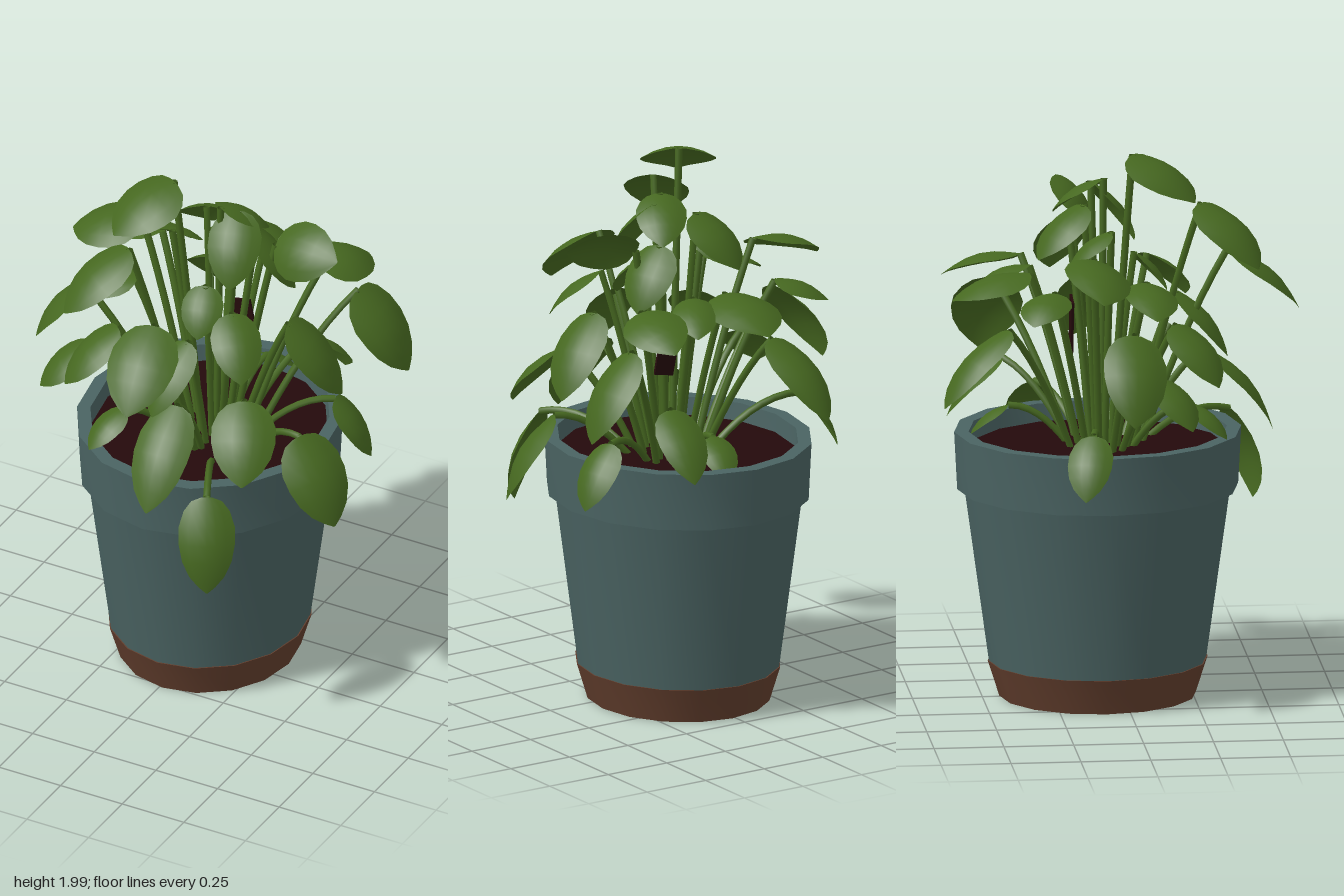
import * as THREE from 'three';
import { toCreasedNormals } from 'three/addons/utils/BufferGeometryUtils.js';

const V = (x, y, z) => new THREE.Vector3(x, y, z);
const CENTRE = V(0.012, 0, -0.086); // pot axis

// Rows of [t along the leaf, half-width fraction]
const OUTLINE = [[0, 0.2], [0.04, 0.55], [0.14, 0.82], [0.3, 1], [0.48, 1], [0.66, 0.88], [0.82, 0.62], [0.93, 0.3], [1, 0.03]];

// Arched, cupped leaf blade from its stem joint to its tip
function leafGeometry(base, tip, width, roll) {
  const dir = tip.clone().sub(base);
  const length = dir.length();
  dir.normalize();
  const side = dir.clone().cross(V(0, 1, 0)).normalize().applyAxisAngle(dir, roll);
  const normal = side.clone().cross(dir);
  const cols = 6, pos = [], index = [];
  OUTLINE.forEach(([t, w], i) => {
    for (let j = 0; j <= cols; j++) {
      const u = (j / cols) * 2 - 1;
      const lift = 0.13 * length * Math.sin(Math.PI * t) - 0.16 * width * u * u * w * w;
      const p = base.clone()
        .addScaledVector(dir, length * t)
        .addScaledVector(side, u * w * width / 2)
        .addScaledVector(normal, lift);
      pos.push(p.x, p.y, p.z);
      if (i && j) {
        const d = i * (cols + 1) + j, c = d - 1, b = d - cols - 1, a = b - 1;
        index.push(a, b, c, b, d, c);
      }
    }
  });
  const g = new THREE.BufferGeometry();
  g.setAttribute('position', new THREE.Float32BufferAttribute(pos, 3));
  g.setIndex(index);
  g.computeVertexNormals();
  return g;
}

// Stem rising steeply from the soil, then leaning out to the leaf
function stemGeometry(base) {
  const root = V(0.04 + (base.x - 0.04) * 0.3, 0.88, -0.07 + (base.z + 0.07) * 0.3);
  const mid = root.clone().lerp(base, 0.5);
  mid.y += 0.06 + 0.12 * Math.hypot(base.x - root.x, base.z - root.z);
  const curve = new THREE.QuadraticBezierCurve3(root, mid, base);
  return new THREE.TubeGeometry(curve, 8, 0.013, 6, false);
}

// Leaves: [base, tip, width, roll]
const OUTER_LEFT = [
  [[-0.28, 1.66, -0.13], [-0.56, 1.56, -0.12], 0.24, -0.25],
  [[-0.2, 1.55, 0.07], [-0.45, 1.47, 0.08], 0.19, -0.15],
  [[-0.45, 1.42, 0.0], [-0.65, 1.13, -0.02], 0.23, -0.25],
  [[-0.38, 1.24, 0.1], [-0.52, 1.08, 0.2], 0.18, -0.1],
  [[-0.47, 1.06, -0.15], [-0.6, 0.85, -0.19], 0.16],
  [[-0.22, 1.4, 0.17], [-0.36, 1.2, 0.31], 0.2],
  [[-0.17, 1.1, 0.22], [-0.24, 0.98, 0.35], 0.13],
];
const OUTER_FRONT = [
  [[-0.07, 1.99, 0.03], [-0.2, 1.84, 0.24], 0.27],
  [[-0.12, 1.82, 0.27], [-0.28, 1.61, 0.46], 0.23],
  [[0.04, 1.61, 0.38], [0.07, 1.38, 0.64], 0.25],
  [[0.09, 1.24, 0.3], [0.1, 0.93, 0.55], 0.21],
  [[0.27, 0.97, 0.41], [0.32, 0.63, 0.5], 0.2],
  [[0.31, 1.27, 0.2], [0.4, 1.04, 0.39], 0.23],
];
const OUTER_RIGHT = [
  [[0.24, 1.71, -0.16], [0.51, 1.74, -0.12], 0.22, 0.85],
  [[0.43, 1.43, -0.42], [0.62, 1.13, -0.45], 0.25, 0.2],
  [[0.45, 1.08, 0.05], [0.62, 0.78, 0.1], 0.24, 0.2],
  [[0.35, 1.47, -0.05], [0.53, 1.19, -0.12], 0.23, 0.2],
  [[0.42, 1.05, -0.27], [0.55, 0.83, -0.3], 0.17],
];
const OUTER_BACK = [
  [[-0.03, 1.55, -0.33], [-0.03, 1.46, -0.61], 0.27],
  [[-0.17, 1.38, -0.42], [-0.25, 1.12, -0.66], 0.2],
  [[0.33, 1.54, -0.33], [0.37, 1.46, -0.61], 0.22, 0.25],
  [[0.25, 1.18, -0.4], [0.28, 0.96, -0.6], 0.18],
  [[0.07, 1.05, -0.4], [0.1, 0.93, -0.54], 0.13],
  [[0.1, 1.55, -0.32], [0.2, 1.46, -0.5], 0.16],
  [[-0.28, 1.54, -0.27], [-0.45, 1.46, -0.36], 0.18],
];
const INNER = [
  [[-0.03, 1.8, -0.14], [-0.1, 1.62, -0.31], 0.22],
  [[-0.12, 1.72, -0.05], [-0.13, 1.6, -0.2], 0.17],
  [[0.07, 1.6, 0.05], [0.1, 1.45, 0.17], 0.15],
  [[0.08, 1.45, 0.2], [0.03, 1.22, 0.38], 0.17],
  [[0.12, 1.85, -0.1], [0.17, 1.62, 0.06], 0.19],
  [[0.07, 1.87, -0.06], [0.17, 1.73, -0.23], 0.18],
  [[0.15, 1.72, -0.18], [0.28, 1.5, -0.23], 0.2],
  [[0.21, 1.56, 0.11], [0.33, 1.38, 0.26], 0.18],
];

export function createModel() {
  const model = new THREE.Group();
  const make = (name, color, side = THREE.FrontSide) => {
    const m = new THREE.MeshStandardMaterial({ color, side });
    m.name = name;
    return m;
  };
  const potBlue = make('slateBlue', 0x4a6362);
  const footBrown = make('footBrown', 0x623e2d);
  const soilDark = make('darkSoil', 0x24090b);
  const leafGreen = make('leafGreen', 0x466820, THREE.DoubleSide);

  const add = (parent, name, geometry, material) => {
    const mesh = new THREE.Mesh(geometry, material);
    mesh.name = name;
    parent.add(mesh);
    return mesh;
  };

  // Pot: slightly oval, hollow lathe parts
  const pot = new THREE.Group();
  pot.name = 'pot';
  pot.position.copy(CENTRE);
  pot.scale.z = 1.1;
  model.add(pot);
  const turned = (name, profile, material) => {
    const g = new THREE.LatheGeometry(profile.map(([r, y]) => new THREE.Vector2(r, y)), 16);
    add(pot, name, toCreasedNormals(g, 0.6), material);
  };
  turned('potBody', [[0.335, 0.13], [0.354, 0.13], [0.433, 0.76], [0.457, 0.76], [0.467, 0.97], [0.42, 0.97], [0.41, 0.86], [0.335, 0.13]], potBlue);
  turned('potFoot', [[0.308, 0.01], [0.32, 0], [0.358, 0.13], [0.335, 0.13], [0.308, 0.01]], footBrown);
  turned('soil', [[0.415, 0.905], [0.2, 0.915], [0, 0.92]], soilDark);

  // Small dark husk among the stems
  const husk = add(model, 'husk', new THREE.BoxGeometry(0.08, 0.2, 0.009), soilDark);
  husk.position.set(0.11, 1.33, -0.17);
  husk.rotation.z = 0.2;

  // Foliage
  const foliage = new THREE.Group();
  foliage.name = 'foliage';
  model.add(foliage);
  for (const [base, tip, width, roll = 0] of [...OUTER_LEFT, ...OUTER_FRONT, ...OUTER_RIGHT, ...OUTER_BACK, ...INNER]) {
    const b = V(...base);
    add(foliage, 'leaf', leafGeometry(b, V(...tip), width, roll), leafGreen);
    add(foliage, 'stem', stemGeometry(b), leafGreen);
  }
  return model;
}
